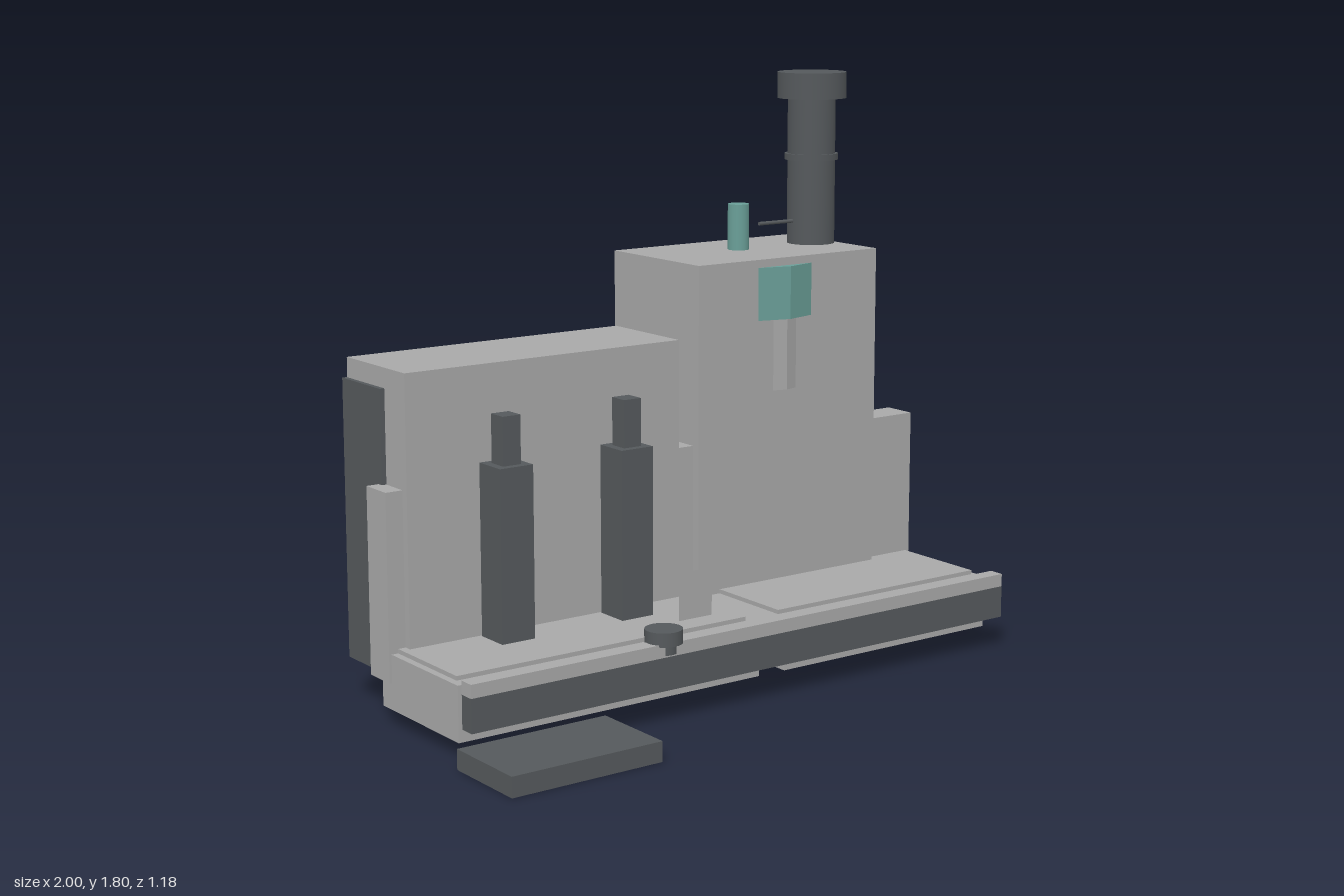
import * as THREE from 'three';

export function createModel() {
  const root = new THREE.Group();
  root.name = 'industrialMachine';

  const mat = (name, color) => {
    const m = new THREE.MeshStandardMaterial({ color });
    m.name = name;
    return m;
  };
  const light = mat('lightGrey', 0xa8a8a8);
  const dark = mat('darkGrey', 0x55595c);
  const teal = mat('teal', 0x6a9f98);
  const sheet = light.clone();
  sheet.side = THREE.DoubleSide;

  const add = (name, geo, material, x, y, z) => {
    const m = new THREE.Mesh(geo, material);
    m.name = name;
    m.position.set(x, y, z);
    root.add(m);
    return m;
  };
  // Box given by its limits on each axis
  const box = (name, material, x0, x1, y0, y1, z0, z1) =>
    add(name, new THREE.BoxGeometry(x1 - x0, y1 - y0, z1 - z0), material,
      (x0 + x1) / 2, (y0 + y1) / 2, (z0 + z1) / 2);
  // Upright cylinder between two heights
  const cyl = (name, material, r, x, z, y0, y1, sides = 32) =>
    add(name, new THREE.CylinderGeometry(r, r, y1 - y0, sides), material, x, (y0 + y1) / 2, z);

  // Base with two lower pads, a channel between them and raised deck panels
  box('baseSlab', light, -0.957, 1, 0.10, 0.215, -0.168, 0.25);
  box('leftPad', light, -0.957, 0.09, 0.05, 0.10, -0.168, 0.25);
  box('rightPad', light, 0.187, 1, 0.05, 0.10, -0.168, 0.25);
  box('channelStrip', light, 0.09, 0.137, 0.09, 0.10, -0.168, 0.25);
  box('leftDeck', light, -0.935, 0.07, 0.215, 0.228, -0.12, 0.208);
  box('rightDeck', light, 0.195, 0.985, 0.215, 0.228, -0.12, 0.208);
  box('rearWall', light, -0.965, 1, 0.13, 0.69, -0.223, -0.114);

  // Left cabinet with a dark wrap on its back and sides
  box('cabinet', light, -0.91, 0.042, 0.13, 1.03, -0.422, -0.09);
  box('cabinetWrap', dark, -0.925, 0.054, 0.128, 0.97, -0.425, -0.205);

  // Tower
  box('tower', light, 0.113, 0.816, 0.13, 1.25, -0.532, -0.085);

  // Round drum inside the tower, bulging through front and back
  const cx = 0.447, cz = -0.325;
  for (const [name, m, r, y0, y1] of [
    ['drumCollar', teal, 0.268, 1.06, 1.225],
    ['drumBody', light, 0.252, 0.835, 1.06],
  ]) {
    const d = cyl(name, m, r, cx, cz, y0, y1, 12);
    d.geometry = d.geometry.toNonIndexed();
    d.geometry.computeVertexNormals();
  }
  cyl('drumSpout', teal, 0.034, cx, cz, 1.24, 1.395, 16);

  // Chimney, its cap, ring and feeler rod
  cyl('chimney', dark, 0.077, 0.742, cz, 1.24, 1.72);
  cyl('chimneyRing', dark, 0.086, 0.742, cz, 1.52, 1.54);
  cyl('chimneyCap', dark, 0.111, 0.742, cz, 1.717, 1.8);
  const rod = cyl('chimneyRod', dark, 0.006, 0.61, cz, 1.245, 1.405, 8);
  rod.rotation.z = Math.PI / 2;

  // Down pipe half sunk in the tower side
  cyl('sidePipe', dark, 0.034, 0.787, cz, 0.55, 1.245, 24);
  for (const y of [0.835, 1.183]) cyl('sidePipeRing', dark, 0.048, 0.787, cz, y - 0.01, y + 0.01, 24);

  // Two pillars with posts
  for (const x of [-0.617, -0.196]) {
    box('pillar', dark, x - 0.056, x + 0.056, 0.22, 0.745, -0.083, 0.028);
    box('pillarPost', dark, x - 0.03, x + 0.03, 0.745, 0.89, -0.058, 0.004);
  }

  // Thin upright plate on the deck
  add('uprightPlate', new THREE.PlaneGeometry(0.122, 0.155), sheet, -0.058, 0.2975, 0.13);

  // Front rail with a light cap, and its knob and bracket
  box('railBody', dark, -0.965, 1, 0.10, 0.20, 0.284, 0.333);
  box('railCap', light, -0.965, 1, 0.20, 0.24, 0.284, 0.333);
  const kx = -0.295;
  box('knobBracket', dark, kx - 0.04, kx + 0.04, 0.13, 0.21, 0.25, 0.285);
  cyl('knobStem', dark, 0.041, kx, 0.297, 0.205, 0.24, 24);
  cyl('knob', dark, 0.056, kx, 0.297, 0.234, 0.276);

  // Foot pedal on the floor
  box('pedal', dark, -1, -0.51, 0, 0.06, 0.312, 0.59);

  return root;
}
